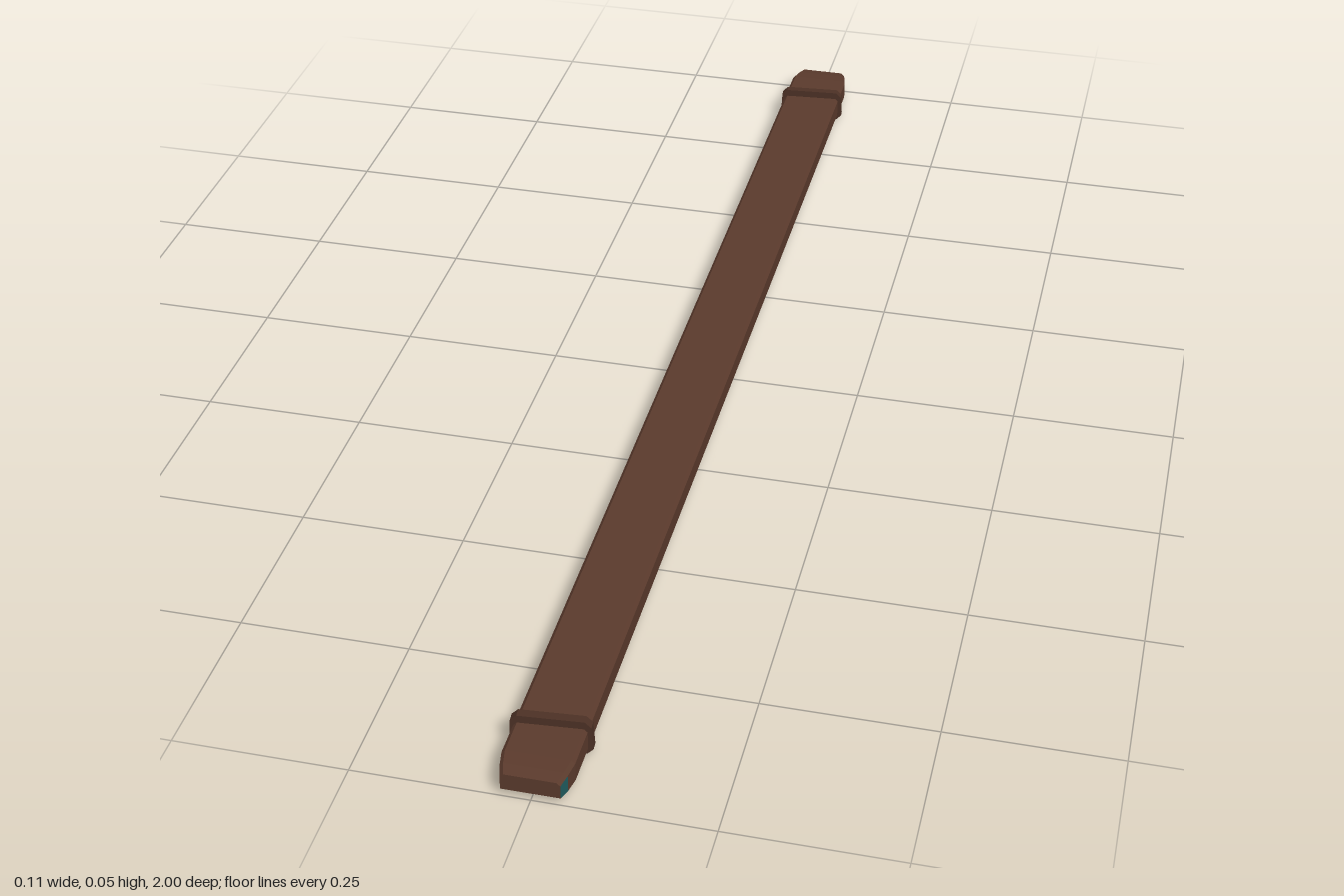
import * as THREE from 'three';

const wood = new THREE.MeshStandardMaterial({ name: 'brown wood', color: 0x5a3a2c });
const strap = new THREE.MeshStandardMaterial({ name: 'dark brown strap', color: 0x4c3125 });
const teal = new THREE.MeshStandardMaterial({ name: 'teal corner', color: 0x1f5a5c });

// Plank cross-section, counter-clockwise seen from +z, with bevelled upper edges
function section(z, halfWidth, bottom, top) {
  const bevel = 0.005;
  return [
    [-halfWidth, bottom], [halfWidth, bottom], [halfWidth, top - bevel],
    [halfWidth - bevel, top], [-halfWidth + bevel, top], [-halfWidth, top - bevel],
  ].map(([x, y]) => new THREE.Vector3(x, y, z));
}

// Lofted plank with tapered ends; the outermost side facets are teal
function plankGeometry() {
  const half = [[1, 0.041, 0.012, 0.038], [0.982, 0.046, 0.01, 0.041], [0.96, 0.05, 0.01, 0.043]];
  const rings = [
    ...half.map(([z, ...size]) => section(-z, ...size)),
    ...half.slice().reverse().map(([z, ...size]) => section(z, ...size)),
  ];
  const faces = [[], []];
  const last = rings.length - 1;
  for (let k = 0; k < last; k++) {
    for (let i = 0; i < 6; i++) {
      const j = (i + 1) % 6;
      const [a, b, c, d] = [rings[k][i], rings[k][j], rings[k + 1][j], rings[k + 1][i]];
      const isCorner = (k === 0 || k === last - 1) && (i === 1 || i === 5);
      faces[isCorner ? 1 : 0].push(a, b, c, a, c, d);
    }
  }
  // End caps
  for (let i = 1; i < 5; i++) {
    faces[0].push(rings[last][0], rings[last][i], rings[last][i + 1]);
    faces[0].push(rings[0][0], rings[0][i + 1], rings[0][i]);
  }
  const geometry = new THREE.BufferGeometry().setFromPoints(faces.flat());
  geometry.addGroup(0, faces[0].length, 0);
  geometry.addGroup(faces[0].length, faces[1].length, 1);
  geometry.computeVertexNormals();
  return geometry;
}

// Strap: a chamfered loop, slightly wider at the bottom, around the plank
function strapGeometry() {
  const outline = [
    [-0.048, 0], [0.048, 0], [0.057, 0.009], [0.055, 0.046],
    [0.046, 0.055], [-0.046, 0.055], [-0.055, 0.046], [-0.057, 0.009],
  ].map(([x, y]) => new THREE.Vector2(x, y));
  const shape = new THREE.Shape(outline);
  const hole = [[-0.049, 0.011], [-0.049, 0.037], [-0.044, 0.042], [0.044, 0.042], [0.049, 0.037], [0.049, 0.011]];
  shape.holes.push(new THREE.Path(hole.map(([x, y]) => new THREE.Vector2(x, y))));
  const geometry = new THREE.ExtrudeGeometry(shape, { depth: 0.013, bevelEnabled: false });
  return geometry.translate(0, 0, -0.0065);
}

export function createModel() {
  const model = new THREE.Group();
  model.name = 'strappedPlank';

  const plank = new THREE.Mesh(plankGeometry(), [wood, teal]);
  plank.name = 'plank';
  model.add(plank);

  // Both straps sit slightly askew
  const loop = strapGeometry();
  for (const [name, z] of [['frontStrap', 0.896], ['backStrap', -0.89]]) {
    const mesh = new THREE.Mesh(loop, strap);
    mesh.name = name;
    mesh.position.z = z;
    mesh.rotation.y = 0.08;
    model.add(mesh);
  }
  return model;
}
